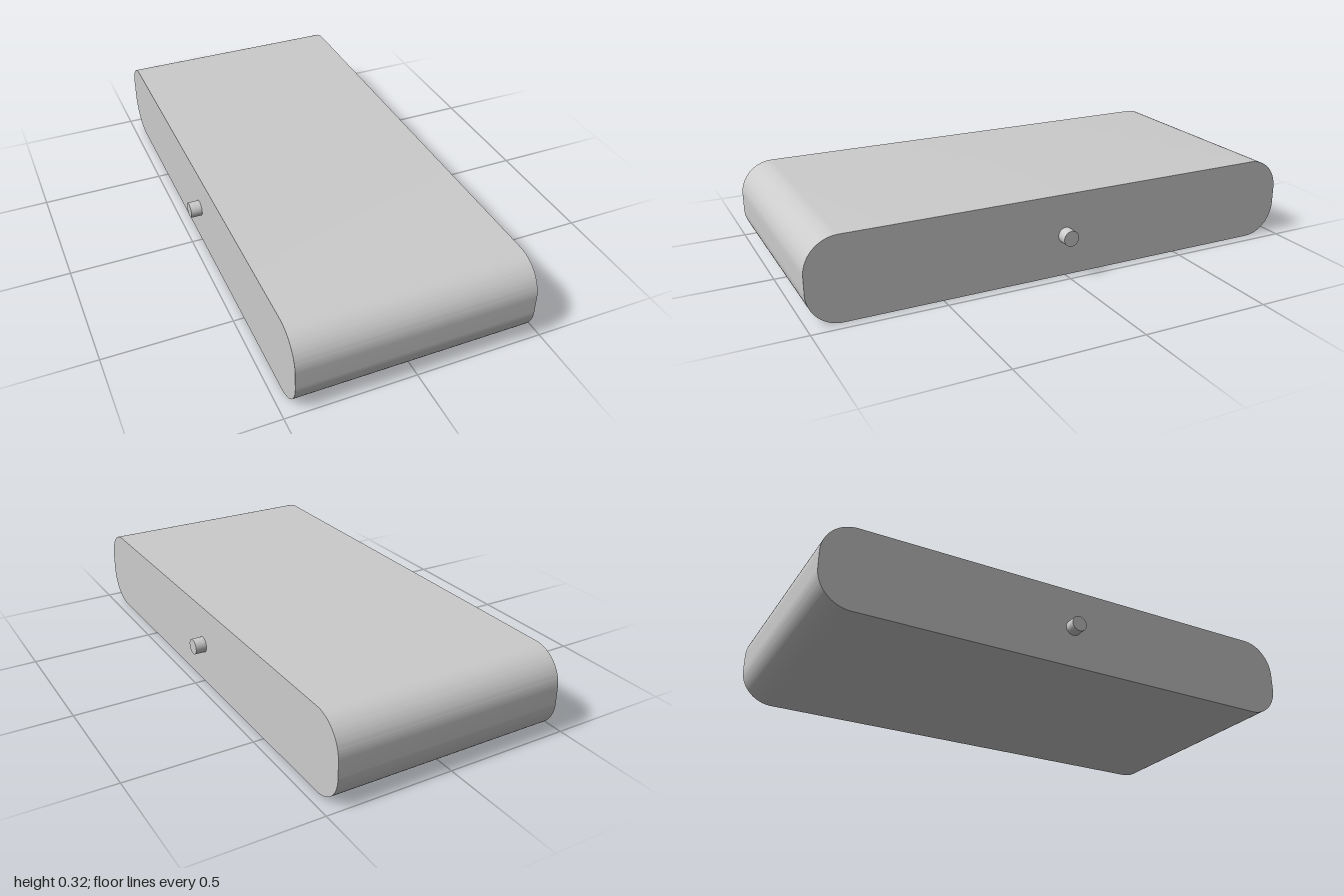
import * as THREE from 'three';
import { toCreasedNormals } from 'three/addons/utils/BufferGeometryUtils.js';

const HEIGHT = 0.325, HALF_LENGTH = 1, HALF_WIDTH = 0.458, CORNER = 0.13;
const PIN_RADIUS = 0.031, PIN_END = 0.502;

// Side profile: a long bar with rounded corners
function barProfile() {
  const l = HALF_LENGTH, h = HEIGHT, r = CORNER;
  const s = new THREE.Shape();
  s.moveTo(-l + r, 0);
  s.lineTo(l - r, 0);
  s.absarc(l - r, r, r, -Math.PI / 2, 0, false);
  s.absarc(l - r, h - r, r, 0, Math.PI / 2, false);
  s.absarc(-l + r, h - r, r, Math.PI / 2, Math.PI, false);
  s.absarc(-l + r, r, r, Math.PI, Math.PI * 1.5, false);
  return s;
}

export function createModel() {
  const group = new THREE.Group();
  const material = new THREE.MeshStandardMaterial({ color: 0xcccccc });

  // Body, extruded across the width
  let bodyGeo = new THREE.ExtrudeGeometry(barProfile(), {
    depth: HALF_WIDTH * 2, bevelEnabled: false, curveSegments: 20,
  });
  bodyGeo.translate(0, 0, -HALF_WIDTH);
  bodyGeo.rotateY(Math.PI / 2);
  bodyGeo = toCreasedNormals(bodyGeo, 0.5);
  const body = new THREE.Mesh(bodyGeo, material);
  body.name = 'body';
  group.add(body);

  // Pivot pins on both sides, sunk slightly into the body
  const inner = HALF_WIDTH - 0.02;
  for (const side of [1, -1]) {
    const pin = new THREE.Mesh(
      new THREE.CylinderGeometry(PIN_RADIUS, PIN_RADIUS, PIN_END - inner, 40), material);
    pin.rotation.z = Math.PI / 2;
    pin.position.set(side * (PIN_END + inner) / 2, HEIGHT / 2, 0);
    pin.name = side > 0 ? 'leftPin' : 'rightPin';
    group.add(pin);
  }
  return group;
}
